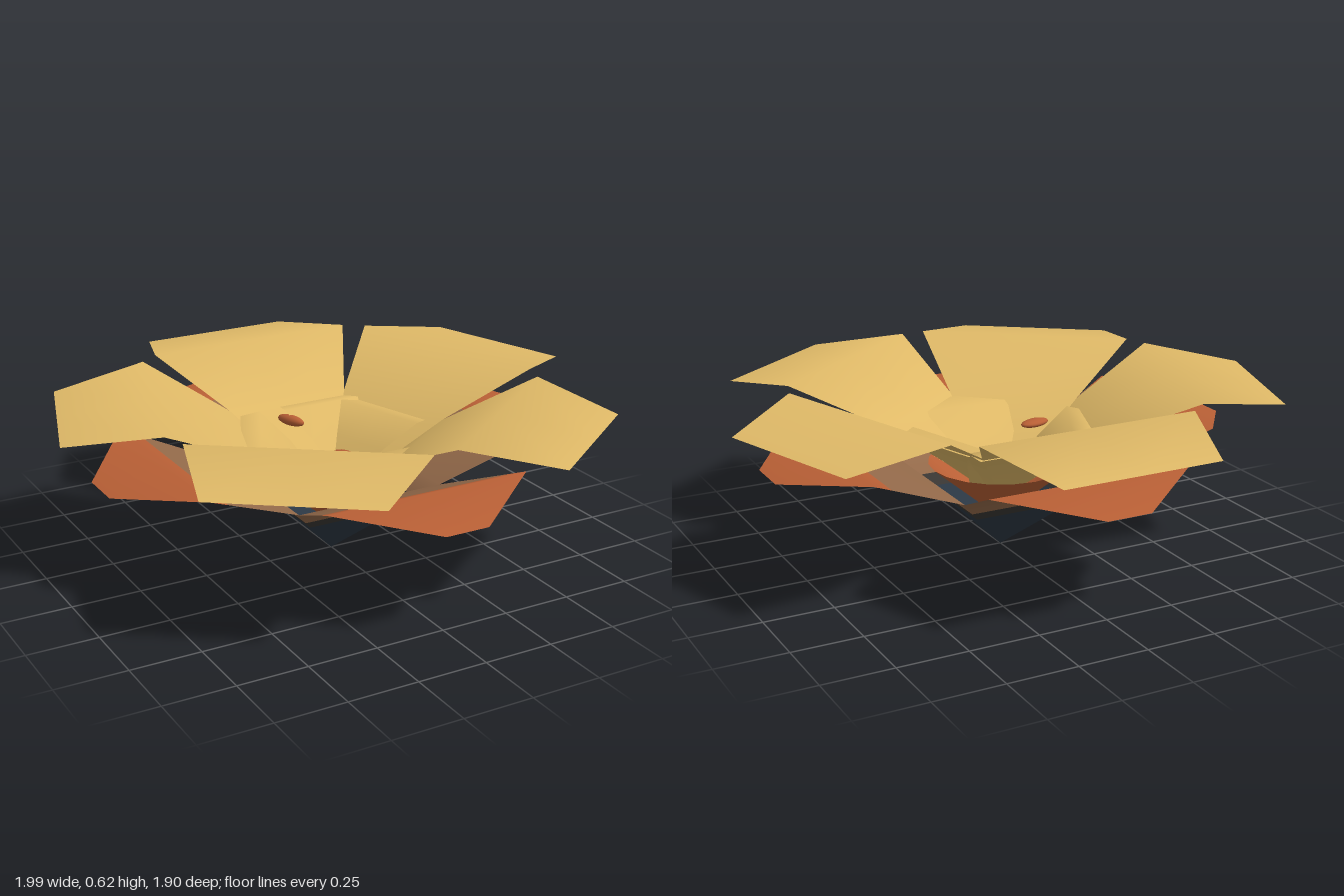
import * as THREE from 'three';

const mat = (name, color) => {
  const m = new THREE.MeshStandardMaterial({ color, side: THREE.DoubleSide });
  m.name = name;
  return m;
};

// Bent blade pointing along +z; each row is [distance, height, half width].
function blade(rows) {
  const pos = [], index = [];
  rows.forEach(([r, y, w], i) => {
    pos.push(-w, y, r, 0, y, r, w, y, r);
    if (i === 0) return;
    for (let k = 0; k < 2; k++) {
      const a = (i - 1) * 3 + k, b = a + 3;
      index.push(a, b, a + 1, a + 1, b, b + 1);
    }
  });
  const g = new THREE.BufferGeometry();
  g.setAttribute('position', new THREE.Float32BufferAttribute(pos, 3));
  g.setIndex(index);
  g.computeVertexNormals();
  return g;
}

export function createModel() {
  const yellow = mat('golden yellow', 0xdfb967);
  const rust = mat('rust red', 0xb85f35);
  const brown = mat('dull brown', 0x946a4a);
  const charcoal = mat('charcoal', 0x393633);
  const navy = mat('dark navy', 0x2b3743);
  const flower = new THREE.Group();
  flower.name = 'flower';

  const add = (parent, name, geometry, material) => {
    const mesh = new THREE.Mesh(geometry, material);
    mesh.name = name;
    parent.add(mesh);
    return mesh;
  };

  // Four sepals forming the pointed cup, in colour bands
  const sepalBands = [
    ['sepalBase', navy, [[0, 0, 0], [0.19, 0.19, 0.19]]],
    ['sepalShade', charcoal, [[0.19, 0.19, 0.19], [0.225, 0.228, 0.225]]],
    ['sepalMiddle', brown, [[0.225, 0.228, 0.225], [0.28, 0.29, 0.28], [0.58, 0.42, 0.361]]],
    ['sepalTip', rust, [[0.58, 0.42, 0.361], [0.65, 0.45, 0.38], [0.875, 0.4, 0.08]]],
  ].map(([name, material, rows]) => [name, blade(rows), material]);
  for (let i = 0; i < 4; i++) {
    const sepal = new THREE.Group();
    sepal.name = 'sepal';
    sepal.rotation.y = (i * Math.PI) / 2;
    sepalBands.forEach((band) => add(sepal, ...band));
    flower.add(sepal);
  }

  // Rust lining inside the cup, below the petals
  const lining = add(flower, 'cupLining', new THREE.ConeGeometry(0.26, 0.22, 20, 1, true), rust);
  lining.rotation.x = Math.PI;
  lining.position.y = 0.21;

  // Five broad outer petals, one pointing straight back
  const petalShape = blade([
    [0, 0.17, 0], [0.17, 0.33, 0.124], [0.33, 0.465, 0.24],
    [0.625, 0.62, 0.4], [0.955, 0.565, 0.285],
  ]);
  for (let i = 0; i < 5; i++) {
    add(flower, 'outerPetal', petalShape, yellow).rotation.y = Math.PI + (i * Math.PI * 2) / 5;
  }

  // Small uneven inner petals: [shape, angle, side shift, width scale]
  const innerShape = blade([
    [0.02, 0.23, 0.03], [0.14, 0.37, 0.1], [0.25, 0.46, 0.155], [0.32, 0.45, 0.14],
  ]);
  const pointedShape = blade([
    [0.02, 0.23, 0.03], [0.14, 0.37, 0.13], [0.27, 0.45, 0.17], [0.385, 0.455, 0.02],
  ]);
  const innerPetals = [
    [innerShape, Math.PI, 0.1, 1],
    [innerShape, -2.02, 0, 1.25],
    [innerShape, 1.88, 0, 1.2],
    [pointedShape, 0, 0, 1],
  ];
  for (const [shape, angle, x, width] of innerPetals) {
    const petal = add(flower, 'innerPetal', shape, yellow);
    petal.rotation.y = angle;
    petal.position.x = x;
    petal.scale.x = width;
  }

  // Rust centre and the small rust spots between inner petals: [name, position, radii, turn]
  const spotShape = new THREE.SphereGeometry(1, 16, 10);
  const spots = [
    ['core', [0.07, 0.325, 0], [0.05, 0.025, 0.1], 0],
    ['sideSpot', [-0.2, 0.4, 0.11], [0.06, 0.015, 0.03], 0.2],
    ['backSpot', [-0.04, 0.425, -0.23], [0.02, 0.02, 0.06], 0.4],
  ];
  for (const [name, position, radii, turn] of spots) {
    const spot = add(flower, name, spotShape, rust);
    spot.position.set(...position);
    spot.scale.set(...radii);
    spot.rotation.y = turn;
  }

  return flower;
}
